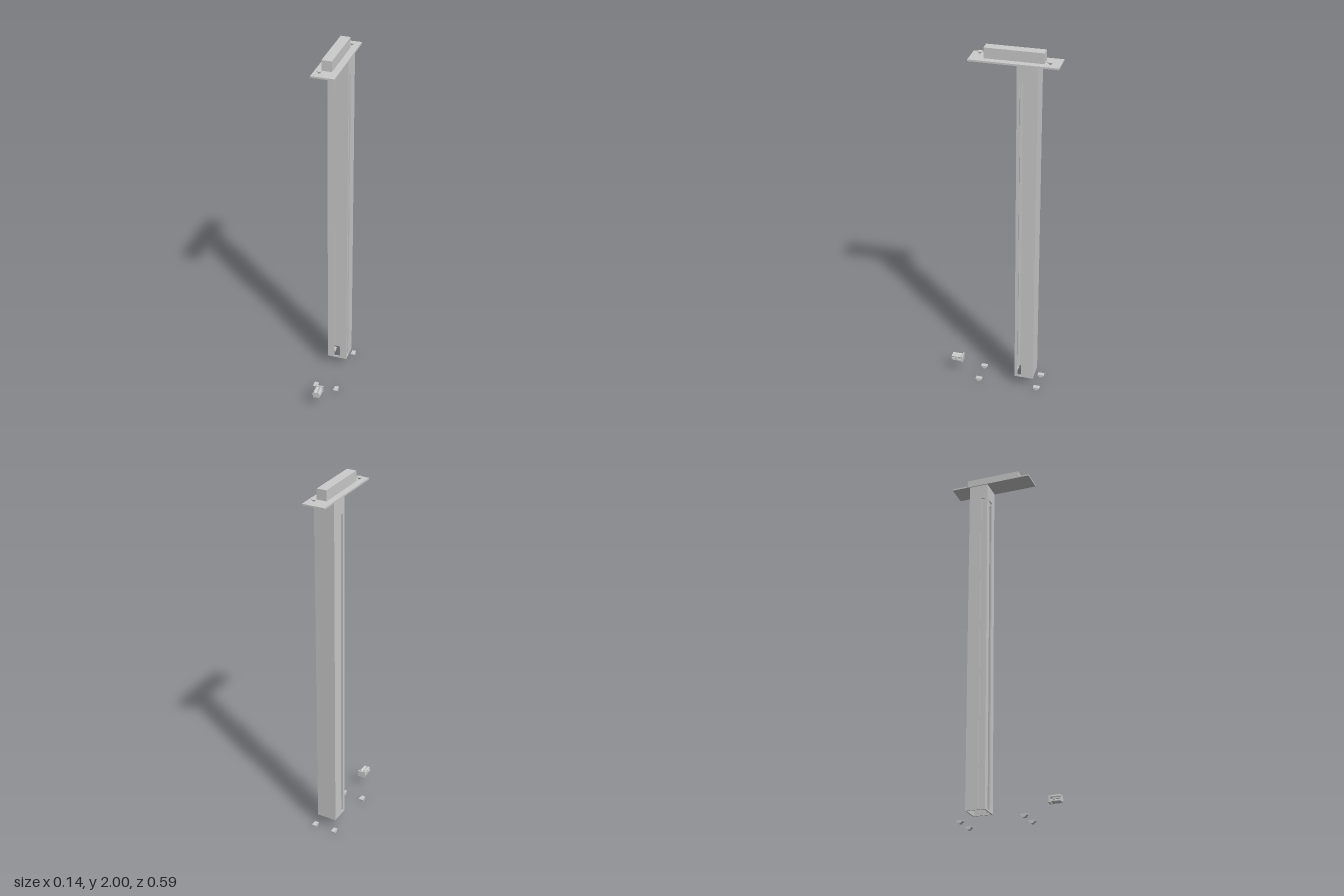
import * as THREE from 'three';

const mat = new THREE.MeshStandardMaterial({ color: 0xcccccc, flatShading: true, side: THREE.DoubleSide });

function add(parent, name, geometry, x = 0, y = 0, z = 0) {
  const mesh = new THREE.Mesh(geometry, mat);
  mesh.name = name;
  mesh.position.set(x, y, z);
  parent.add(mesh);
  return mesh;
}

// Box given by its minimum and maximum corners
function box(parent, name, [x0, y0, z0], [x1, y1, z1]) {
  return add(parent, name, new THREE.BoxGeometry(x1 - x0, y1 - y0, z1 - z0),
    (x0 + x1) / 2, (y0 + y1) / 2, (z0 + z1) / 2);
}

function rectPath(path, x0, y0, x1, y1) {
  path.moveTo(x0, y0);
  path.lineTo(x1, y0);
  path.lineTo(x1, y1);
  path.lineTo(x0, y1);
  path.closePath();
  return path;
}

// Upright wall with one long slot
function slottedWall(u0, u1, s0, s1, thickness) {
  const shape = rectPath(new THREE.Shape(), u0, 0.065, u1, 1.937);
  shape.holes.push(rectPath(new THREE.Path(), s0, 0.075, s1, 1.85));
  return new THREE.ExtrudeGeometry(shape, { depth: thickness, bevelEnabled: false });
}

export function createModel() {
  const model = new THREE.Group();
  const t = 0.006;

  // Hollow column, open below, slotted at the front and both sides
  const column = new THREE.Group();
  column.name = 'column';
  model.add(column);
  add(column, 'frontWall', slottedWall(-0.055, 0.055, -0.018, 0.018, t), 0, 0, -0.095 - t);
  box(column, 'backWall', [-0.055, 0.065, -0.2], [0.055, 1.937, -0.2 + t]);
  for (const x of [-0.055, 0.055 - t]) {
    // Local x runs towards -z after the turn
    const wall = add(column, 'sideWall', slottedWall(0.095 + t, 0.2 - t, 0.11, 0.132, t), x, 0, 0);
    wall.rotation.y = Math.PI / 2;
  }

  // Top plate with a raised bar
  box(model, 'topPlate', [-0.06, 1.936, -0.303], [0.06, 1.945, 0.15]);
  box(model, 'topBar', [-0.027, 1.945, -0.224], [0.025, 2, 0.078]);

  // Countersunk screws at opposite corners of the plate
  const screw = new THREE.LatheGeometry([[0, 0], [0.005, 0], [0.005, 0.004], [0.0135, 0.011], [0.0135, 0.014], [0, 0.014]]
    .map(([x, y]) => new THREE.Vector2(x, y)), 24);
  for (const [x, z] of [[0.024, -0.253], [-0.028, 0.109]]) add(model, 'screw', screw, x, 1.945, z);

  // Four small tapered feet
  const footShape = new THREE.Shape([[-0.005, 0], [0.005, 0], [0.018, 0.013], [0.018, 0.017], [-0.018, 0.017], [-0.018, 0.013]]
    .map(([x, y]) => new THREE.Vector2(x, y)));
  const foot = new THREE.ExtrudeGeometry(footShape, { depth: 0.023, bevelEnabled: false });
  foot.translate(0, 0, -0.0115).rotateY(Math.PI / 2);
  for (const x of [-0.0595, 0.0595])
    for (const z of [-0.223, 0.111]) add(model, 'foot', foot, x, 0, z);

  // Loose slider: notched body, side wings and a separate end plate
  const slider = new THREE.Group();
  slider.name = 'slider';
  slider.position.y = 0.093;
  model.add(slider);
  const quarter = [[0.018, -0.009], [0.014, 0], [0.018, 0.009], [0.018, 0.014], [0.014, 0.018], [0.009, 0.018]];
  const outline = [];
  for (let i = 0; i < 4; i++)
    for (const [x, y] of quarter)
      outline.push(new THREE.Vector2(x, y).rotateAround(new THREE.Vector2(), i * Math.PI / 2));
  add(slider, 'sliderBody', new THREE.ExtrudeGeometry(new THREE.Shape(outline), { depth: 0.053, bevelEnabled: false }), 0, 0, 0.231);
  for (const s of [-1, 1])
    add(slider, 'sliderWing', new THREE.BoxGeometry(0.01, 0.01, 0.04), s * 0.0175, 0, 0.263);
  box(slider, 'sliderPlate', [-0.0225, -0.018, 0.219], [0.0225, 0.018, 0.227]);

  return model;
}
